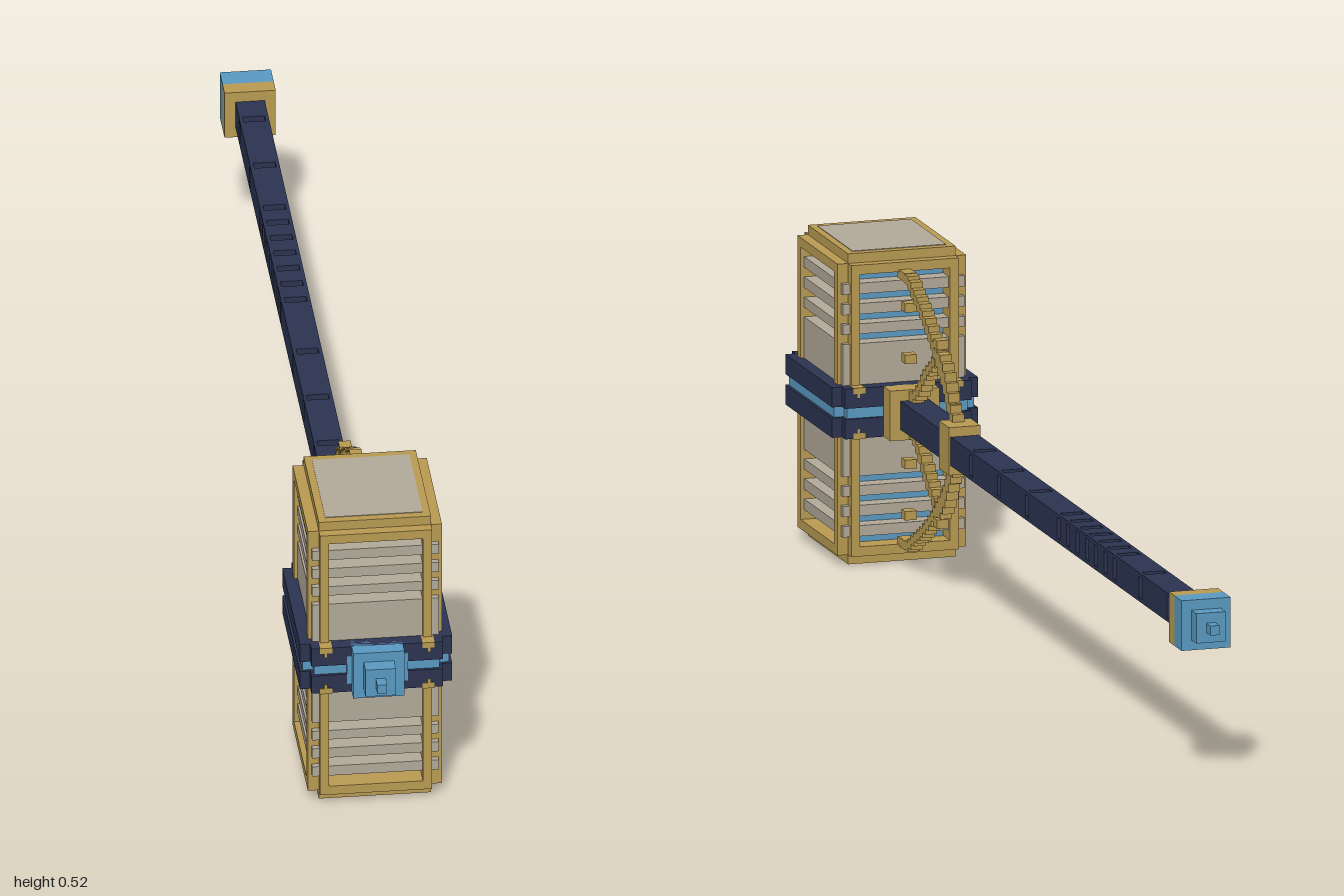
import * as THREE from 'three';

const mat = (name, color) => {
  const m = new THREE.MeshStandardMaterial({ color });
  m.name = name;
  return m;
};

export function createModel() {
  const gold = mat('gold', 0xb99b52);
  const stone = mat('stone', 0xb2aa9a);
  const navy = mat('navy', 0x2b3350);
  const blue = mat('blue', 0x5a9bc3);

  const root = new THREE.Group();
  root.name = 'warHammer';
  const CY = 0.261; // height of the handle axis
  const HZ = 0.787; // middle of the head along z

  const group = (name, z = 0) => {
    const g = new THREE.Group();
    g.name = name;
    g.position.set(0, CY, z);
    root.add(g);
    return g;
  };
  // box given by its min/max on every axis
  const box = (g, name, m, [x0, x1], [y0, y1], [z0, z1]) => {
    const mesh = new THREE.Mesh(new THREE.BoxGeometry(x1 - x0, y1 - y0, z1 - z0), m);
    mesh.position.set((x0 + x1) / 2, (y0 + y1) / 2, (z0 + z1) / 2);
    mesh.name = name;
    g.add(mesh);
    return mesh;
  };
  const sym = (h) => [-h, h];
  const flip = ([a, b], s) => (s > 0 ? [a, b] : [-b, -a]);

  // Head: glowing core seen through gaps between stacked stone slabs
  const head = group('head', HZ);
  box(head, 'core', blue, sym(0.075), sym(0.235), sym(0.09));
  box(head, 'stoneBlock', stone, sym(0.104), sym(0.111), sym(0.118));
  for (const s of [1, -1]) {
    for (const y of [[0.127, 0.144], [0.16, 0.178], [0.194, 0.212]])
      box(head, 'stoneSlat', stone, sym(0.104), flip(y, s), sym(0.118));
    // stepped gold end caps
    box(head, 'rimSide', gold, sym(0.11), flip([0.228, 0.244], s), sym(0.108));
    box(head, 'rimFront', gold, sym(0.092), flip([0.228, 0.244], s), sym(0.125));
    box(head, 'endCap', gold, sym(0.092), flip([0.244, 0.26], s), sym(0.108));
    box(head, 'endPlate', stone, sym(0.08), flip([0.257, 0.261], s), sym(0.094));
    // stepped corner columns
    for (const t of [1, -1]) {
      box(head, 'columnSide', gold, flip([0.077, 0.11], s), sym(0.229), flip([0.09, 0.108], t));
      box(head, 'columnFront', gold, flip([0.077, 0.092], s), sym(0.229), flip([0.09, 0.125], t));
    }
  }

  // Belt around the head: two navy rails with a blue inlay between
  const belt = group('belt', HZ);
  for (const s of [1, -1]) {
    box(belt, 'railSide', navy, sym(0.125), flip([0.009, 0.042], s), sym(0.125));
    box(belt, 'railFront', navy, sym(0.108), flip([0.009, 0.042], s), sym(0.142));
    for (const x of [1, -1])
      for (const z of [1, -1]) {
        box(belt, 'clip', gold, flip([0.074, 0.094], x), flip([0.033, 0.043], s), flip([0.12, 0.144], z));
        box(belt, 'clipStem', gold, flip([0.083, 0.087], x), flip([0.026, 0.033], s), flip([0.14, 0.144], z));
      }
  }
  box(belt, 'inlaySide', blue, sym(0.12), sym(0.01), sym(0.12));
  box(belt, 'inlayFront', blue, sym(0.103), sym(0.01), sym(0.137));
  box(belt, 'bossPlate', blue, sym(0.05), sym(0.026), [0.13, 0.144]);

  // Stepped studs on the striking face and on the pommel
  const stud = (name, s, start) => {
    const g = group(name);
    box(g, 'studBase', blue, sym(0.042), sym(0.042), flip([start, 0.952], s));
    box(g, 'studStep', blue, sym(0.025), sym(0.025), flip([0.95, 0.978], s));
    box(g, 'studTip', blue, sym(0.008), sym(0.008), flip([0.976, 1], s));
    return g;
  };
  stud('frontBoss', 1, 0.9);
  const pommel = stud('pommel', -1, 0.913);
  box(pommel, 'pommelCollar', gold, sym(0.042), sym(0.042), [-0.913, -0.884]);

  // Handle: navy lengths, with gold showing in narrow slots between corner posts
  const handle = group('handle');
  const slots = [-0.826, -0.675, -0.537, -0.488, -0.438, -0.388, -0.338, -0.287, -0.235, -0.066, 0.084, 0.234];
  const H = 0.024, W = 0.008;
  let from = -0.89;
  for (const z of [...slots, 0.66]) {
    box(handle, 'shaft', navy, sym(H), sym(H), [from, z - W]);
    from = z + W;
  }
  for (const z of slots) {
    box(handle, 'slotCore', gold, sym(0.012), sym(0.012), [z - W, z + W]);
    for (const x of [1, -1])
      for (const y of [1, -1])
        box(handle, 'slotPost', navy, flip([0.018, H], x), flip([0.018, H], y), [z - W, z + W]);
  }
  box(handle, 'chainCollar', gold, sym(0.027), sym(0.04), [0.342, 0.396]);
  box(handle, 'headCollar', gold, sym(0.042), sym(0.042), [0.61, 0.647]);

  // Chains of small cubes between collar and head, mirrored above and below
  const chains = group('chains');
  const strands = [
    [[0.385, 0.045], [0.43, 0.094], [0.475, 0.134], [0.54, 0.179], [0.59, 0.205], [0.62, 0.222], [0.66, 0.224]],
    [[0.47, 0.15], [0.48, 0.119], [0.525, 0.087], [0.575, 0.043], [0.615, 0.025]],
    [[0.40, 0.06], [0.43, 0.11], [0.452, 0.13]],
  ];
  const link = new THREE.BoxGeometry(0.02, 0.015, 0.02);
  const addLink = (z, y, s) => {
    const m = new THREE.Mesh(link, gold);
    m.name = 'chainLink';
    m.position.set(0, s * y, z);
    chains.add(m);
  };
  for (const s of [1, -1]) {
    for (const pts of strands) {
      const path = new THREE.CatmullRomCurve3(pts.map(([z, y]) => new THREE.Vector3(0, y, z)));
      const n = Math.round(path.getLength() / 0.018);
      for (let i = 0; i <= n; i++) {
        const p = path.getPointAt(i / n);
        addLink(p.z, p.y, s);
      }
    }
    addLink(0.64, 0.174, s);
    addLink(0.64, 0.088, s);
  }
  return root;
}
